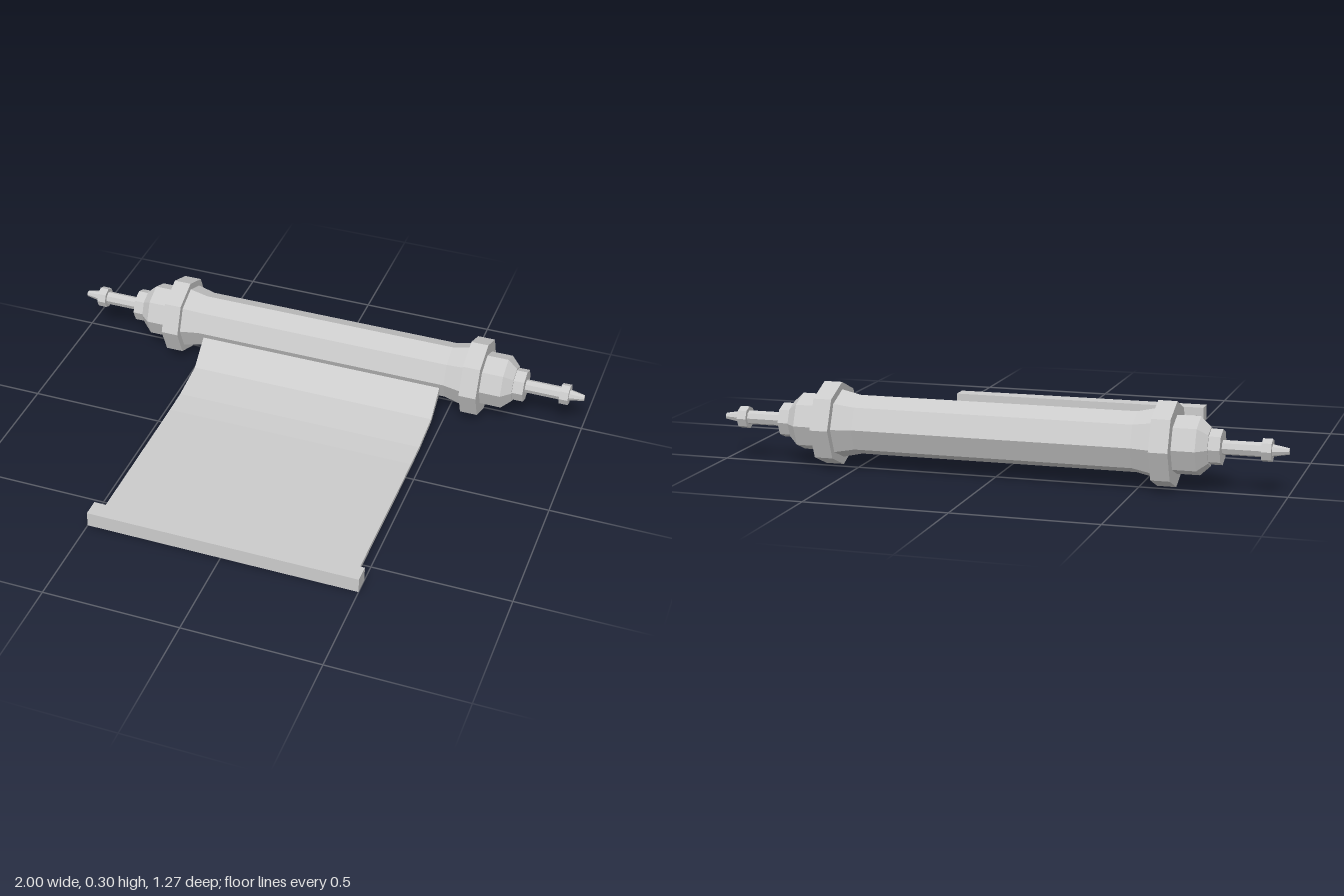
import * as THREE from 'three';

const material = new THREE.MeshStandardMaterial({ color: 0xcccccc, flatShading: true });

function addMesh(parent, name, geometry) {
  const mesh = new THREE.Mesh(geometry, material);
  mesh.name = name;
  parent.add(mesh);
  return mesh;
}

// Eight-sided solid turned around the x axis from [x, radius] pairs, closed at both ends
function turned(parent, name, profile) {
  const closed = [[profile[0][0], 0], ...profile, [profile[profile.length - 1][0], 0]];
  const points = closed.map(([x, r]) => new THREE.Vector2(r, x));
  const geometry = new THREE.LatheGeometry(points, 8).rotateZ(-Math.PI / 2);
  return addMesh(parent, name, geometry);
}

// One end of the roller, pointing along +x
function buildEnd(name) {
  const end = new THREE.Group();
  end.name = name;
  turned(end, 'flare', [[0.49, 0.104], [0.57, 0.122]]);
  turned(end, 'flange', [[0.56, 0.146], [0.625, 0.146]]);
  turned(end, 'hub', [[0.62, 0.1], [0.705, 0.1], [0.74, 0.067]]);
  turned(end, 'collar', [[0.735, 0.061], [0.78, 0.061]]);
  turned(end, 'axle', [[0.77, 0.025], [0.92, 0.025]]);
  turned(end, 'axleRing', [[0.912, 0.039], [0.945, 0.039]]);
  turned(end, 'axleTip', [[0.94, 0.022], [1, 0.011]]);
  return end;
}

export function createModel() {
  const model = new THREE.Group();
  model.name = 'scroll';

  // Roller with mirrored ends
  const roller = new THREE.Group();
  roller.name = 'roller';
  roller.position.set(0, 0.151, -0.488);
  turned(roller, 'barrel', [[-0.52, 0.104], [0.52, 0.104]]);
  const rightEnd = buildEnd('rightEnd');
  rightEnd.rotation.y = Math.PI;
  roller.add(buildEnd('leftEnd'), rightEnd);
  model.add(roller);

  // Unrolled sheet: side outline as [z, y], extruded across the width
  const outline = [
    [0.58, 0.01], [-0.05, 0.01], [-0.16, 0.013], [-0.305, 0.034], [-0.37, 0.077], [-0.43, 0.13],
    [-0.42, 0.15], [-0.37, 0.108], [-0.3, 0.049], [-0.15, 0.028], [-0.05, 0.025], [0.58, 0.025],
  ];
  const shape = new THREE.Shape(outline.map(([z, y]) => new THREE.Vector2(-z, y)));
  const width = 0.946;
  const sheet = new THREE.ExtrudeGeometry(shape, { depth: width, bevelEnabled: false });
  sheet.translate(0, 0, -width / 2).rotateY(Math.PI / 2);
  addMesh(model, 'sheet', sheet);

  // Weighted bar along the free edge
  const bar = addMesh(model, 'endBar', new THREE.BoxGeometry(1, 0.056, 0.064));
  bar.position.set(0, 0.028, 0.602);

  return model;
}
